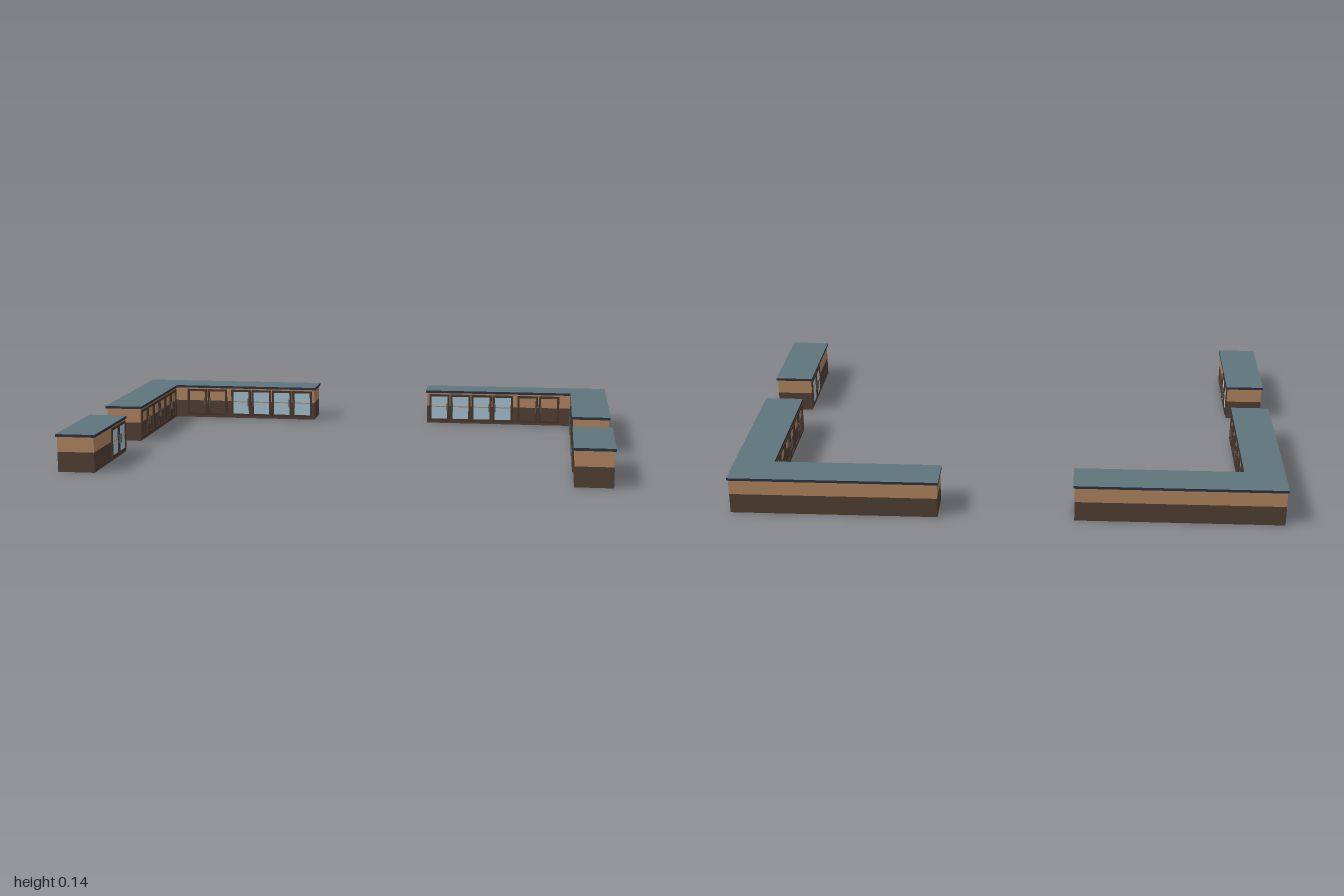
import * as THREE from 'three';

const mat = (name, color) => {
  const m = new THREE.MeshStandardMaterial({ color });
  m.name = name;
  return m;
};

export function createModel() {
  const slate = mat('slate worktop', 0x5f747c);
  const edge = mat('dark worktop edge', 0x2c3440);
  const tan = mat('tan wood', 0xb28660);
  const brown = mat('dark brown wood', 0x524034);
  const frame = mat('door frame brown', 0x46362c);
  const glass = mat('pale blue glass', 0xa6c3d2);
  const metal = mat('handle grey', 0x55534f);

  const root = new THREE.Group();
  root.name = 'counters';

  // Vertical prism over a plan outline of [x, z] points
  const prism = (name, plan, y0, y1, material) => {
    const shape = new THREE.Shape(plan.map(([x, z]) => new THREE.Vector2(x, -z)));
    const geo = new THREE.ExtrudeGeometry(shape, { depth: y1 - y0, bevelEnabled: false });
    geo.rotateX(-Math.PI / 2).translate(0, y0, 0);
    const mesh = new THREE.Mesh(geo, material);
    mesh.name = name;
    return mesh;
  };

  const box = (parent, name, w, h, d, x, y, z, material) => {
    const mesh = new THREE.Mesh(new THREE.BoxGeometry(w, h, d), material);
    mesh.name = name;
    mesh.position.set(x, y, z);
    parent.add(mesh);
  };

  // Pair of framed doors facing +z, standing on a cabinet face at z = 0
  const doorPair = (glazed) => {
    const g = new THREE.Group();
    g.name = glazed ? 'glassDoors' : 'woodDoors';
    const w = 0.086, h = 0.114, rail = 0.009, d = 0.005, y = 0.067;
    for (const s of [-1, 1]) {
      const cx = s * 0.045;
      for (const e of [-1, 1]) {
        box(g, 'doorStile', rail, h, d, cx + e * (w - rail) / 2, y, d / 2, frame);
        box(g, 'doorRail', w - 2 * rail, rail, d, cx, y + e * (h - rail) / 2, d / 2, frame);
      }
      if (glazed) {
        box(g, 'glassPane', w - 2 * rail, h - 2 * rail, 0.002, cx, y, 0.001, glass);
        box(g, 'glazingBar', w - 2 * rail, 0.004, 0.002, cx, 0.072, 0.003, tan);
      }
      // Bar handle with two mounts
      box(g, 'handle', 0.006, 0.034, 0.003, s * 0.011, 0.07, 0.0095, metal);
      for (const e of [-1, 1]) {
        box(g, 'handleMount', 0.004, 0.004, 0.004, s * 0.011, 0.07 + e * 0.012, 0.006, metal);
      }
    }
    return g;
  };

  // Plan outlines for the +x side; o is the worktop overhang
  const cornerPlan = (o) => [
    [0.245 - o, -0.652 - o], [0.994 + o, -0.652 - o], [0.994 + o, 0.045 + o],
    [0.857 - o, 0.045 + o], [0.857 - o, -0.52 + o], [0.245 - o, -0.52 + o],
  ];
  const islandPlan = (o) => [
    [0.857 - o, 0.258 - o], [0.994 + o, 0.258 - o], [0.994 + o, 0.65 + o], [0.857 - o, 0.65 + o],
  ];

  for (const s of [-1, 1]) {
    const side = s > 0 ? 'left' : 'right';

    // Two-tone cabinets with an overhanging worktop
    for (const [name, plan] of [['CornerCounter', cornerPlan], ['EndCounter', islandPlan]]) {
      const g = new THREE.Group();
      g.name = side + name;
      const at = (o) => plan(o).map(([x, z]) => [x * s, z]);
      g.add(prism('lowerCabinet', at(0), 0, 0.074, brown));
      g.add(prism('upperCabinet', at(0), 0.074, 0.13, tan));
      g.add(prism('worktop', at(0.005), 0.13, 0.14, [slate, edge]));
      root.add(g);
    }

    // Doors along the back run
    [[0.343, true], [0.523, true], [0.718, false]].forEach(([x, glazed]) => {
      const d = doorPair(glazed);
      d.position.set(s * x, 0, -0.52);
      root.add(d);
    });

    // Doors along the inner faces of the side run and the end counter
    [[-0.41, false], [-0.23, false], [-0.05, false], [0.355, true]].forEach(([z, glazed]) => {
      const d = doorPair(glazed);
      d.position.set(s * 0.857, 0, z);
      d.rotation.y = -s * Math.PI / 2;
      root.add(d);
    });
  }
  return root;
}
